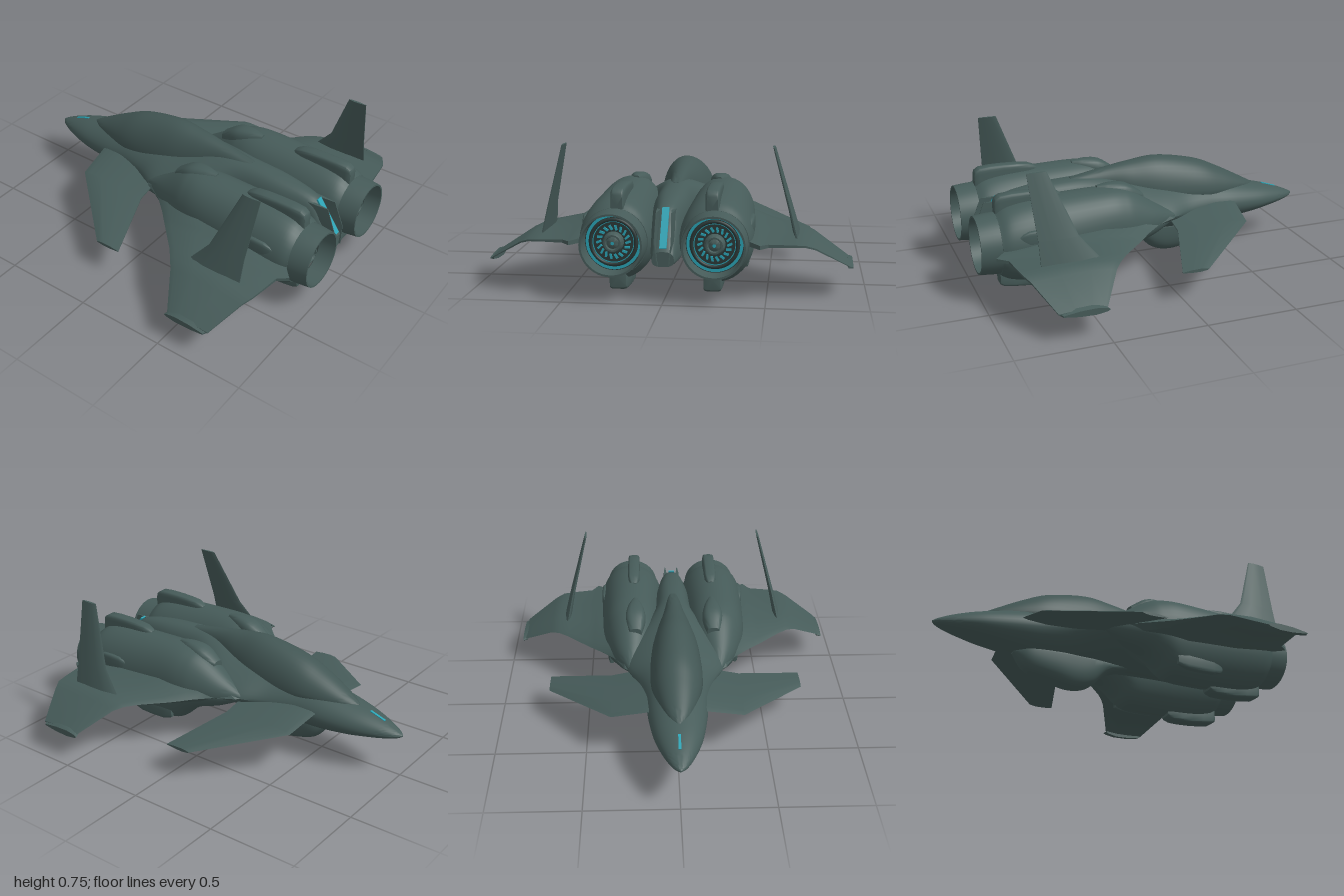
import * as THREE from 'three';
import { toCreasedNormals } from 'three/addons/utils/BufferGeometryUtils.js';

const paint = (name, color) => Object.assign(new THREE.MeshStandardMaterial({ color }), { name });
const hull = paint('hull grey green', 0x465b59);
const glass = paint('canopy grey green', 0x425654);
const dark = paint('engine dark', 0x2b3837);
const cyan = paint('glow cyan', 0x2aa3b4);

// Skin a closed tube over equal-sized rings of points, capping both ends.
function skin(rings, crease = 0.6) {
  const n = rings[0].length, m = rings.length, pos = [], index = [];
  rings.forEach(r => r.forEach(p => pos.push(p.x, p.y, p.z)));
  for (let i = 0; i < m - 1; i++) for (let j = 0; j < n; j++) {
    const a = i * n + j, b = i * n + (j + 1) % n;
    index.push(a, b, a + n, b, b + n, a + n);
  }
  [0, m - 1].forEach((k, e) => {
    const c = rings[k].reduce((s, p) => s.add(p), new THREE.Vector3()).divideScalar(n);
    const ci = pos.length / 3;
    pos.push(c.x, c.y, c.z);
    for (let j = 0; j < n; j++) {
      const a = k * n + j, b = k * n + (j + 1) % n;
      e ? index.push(a, b, ci) : index.push(b, a, ci);
    }
  });
  // Turn the faces outward whichever way the rings ran.
  const v = i => new THREE.Vector3(pos[3 * i], pos[3 * i + 1], pos[3 * i + 2]);
  let volume = 0;
  for (let i = 0; i < index.length; i += 3) volume += v(index[i]).dot(v(index[i + 1]).cross(v(index[i + 2])));
  if (volume < 0) index.reverse();
  const g = new THREE.BufferGeometry();
  g.setAttribute('position', new THREE.Float32BufferAttribute(pos, 3));
  g.setIndex(index);
  return toCreasedNormals(g, crease);
}

// Body along z. Rows: [z, half width, top, bottom, middle height, roundness]
function body(rows, x0 = 0, steps = 6, sides = 40, crease = 0.6) {
  const curves = [1, 2, 3, 4, 5].map(c => new THREE.SplineCurve(rows.map(r => new THREE.Vector2(r[0], r[c]))));
  const count = (rows.length - 1) * steps, rings = [];
  for (let i = 0; i <= count; i++) {
    const at = curves.map(c => c.getPoint(i / count));
    const [w, top, bot, mid, n] = at.map(p => p.y), ring = [];
    for (let j = 0; j < sides; j++) {
      const a = j / sides * Math.PI * 2, c = Math.cos(a), s = Math.sin(a);
      const x = Math.sign(c) * Math.abs(c) ** (2 / n) * w;
      const y = mid + Math.sign(s) * Math.abs(s) ** (2 / n) * (s > 0 ? top - mid : mid - bot);
      ring.push(new THREE.Vector3(x0 + x, y, at[0].x));
    }
    rings.push(ring);
  }
  return skin(rings, crease);
}

// Lens-shaped blade. Stations: [x, y, leading z, trailing z, thickness]
const LENS = [[0, 0], [0.06, 0.25], [0.3, 0.5], [0.65, 0.42], [1, 0.1], [1, -0.1], [0.65, -0.42], [0.3, -0.5], [0.06, -0.25]];
function blade(stations, side, upright = false) {
  return skin(stations.map(([x, y, z0, z1, th]) => LENS.map(([t, h]) => new THREE.Vector3(
    side * (x + (upright ? h * th : 0)), y + (upright ? 0 : h * th), z0 + (z1 - z0) * t))), 0.5);
}

export function createModel() {
  const model = new THREE.Group();
  model.name = 'jetFighter';
  const add = (name, geometry, material = hull, parent = model) => {
    const mesh = new THREE.Mesh(geometry, material);
    mesh.name = name;
    parent.add(mesh);
    return mesh;
  };

  // Nose, broad shoulders and the spine that narrows between the engines
  add('fuselage', body([
    [-1, 0.004, 0.245, 0.235, 0.24, 2], [-0.97, 0.035, 0.262, 0.222, 0.24, 2], [-0.9, 0.072, 0.292, 0.206, 0.242, 2],
    [-0.8, 0.11, 0.325, 0.19, 0.247, 2], [-0.7, 0.136, 0.35, 0.174, 0.253, 2], [-0.55, 0.16, 0.385, 0.155, 0.265, 1.9],
    [-0.4, 0.173, 0.41, 0.146, 0.28, 1.8], [-0.25, 0.21, 0.43, 0.143, 0.29, 1.6], [-0.1, 0.28, 0.455, 0.148, 0.3, 1.4],
    [0.05, 0.3, 0.48, 0.16, 0.3, 1.4], [0.2, 0.2, 0.505, 0.17, 0.31, 1.8], [0.35, 0.12, 0.51, 0.17, 0.32, 2.4],
    [0.6, 0.1, 0.495, 0.17, 0.32, 2.6], [0.8, 0.08, 0.455, 0.17, 0.24, 2.6], [0.87, 0.07, 0.37, 0.175, 0.22, 2.6],
    [0.95, 0.055, 0.255, 0.18, 0.21, 2.6]]));
  add('canopy', body([
    [-0.73, 0.015, 0.345, 0.32, 0.33, 2], [-0.65, 0.065, 0.39, 0.32, 0.34, 2], [-0.5, 0.118, 0.47, 0.32, 0.345, 2],
    [-0.35, 0.143, 0.535, 0.32, 0.35, 2], [-0.12, 0.137, 0.58, 0.33, 0.36, 2], [0.05, 0.105, 0.568, 0.34, 0.4, 2],
    [0.2, 0.065, 0.545, 0.36, 0.44, 2.2], [0.4, 0.04, 0.51, 0.4, 0.46, 2.4]]), glass);
  add('bellyPod', body([
    [-0.54, 0.02, 0.17, 0.145, 0.16, 2], [-0.46, 0.07, 0.19, 0.06, 0.16, 2.4], [-0.3, 0.09, 0.2, 0.018, 0.16, 2.8],
    [-0.18, 0.09, 0.2, 0.002, 0.16, 2.8], [-0.08, 0.085, 0.2, 0.03, 0.16, 2.6], [0.02, 0.07, 0.2, 0.12, 0.165, 2.2],
    [0.15, 0.045, 0.2, 0.165, 0.18, 2]]));

  // Nose light and the sloping tail light
  const noseLight = add('noseLight', new THREE.BoxGeometry(0.014, 0.008, 0.095), cyan);
  noseLight.position.set(0, 0.31, -0.845);
  noseLight.rotation.x = -0.33;
  const tailLight = add('tailLight', new THREE.BoxGeometry(0.035, 0.009, 0.22), cyan);
  tailLight.position.set(0, 0.362, 0.884);
  tailLight.rotation.x = 0.97;

  for (const side of [1, -1]) {
    const half = new THREE.Group();
    half.name = side > 0 ? 'leftHalf' : 'rightHalf';
    model.add(half);
    const put = (name, geometry, material = hull) => add(name, geometry, material, half);

    // Wing with drooping outer panel, and its tip rail
    put('wing', blade([
      [0.15, 0.3, -0.22, 0.86, 0.16], [0.29, 0.3, -0.11, 0.88, 0.15], [0.34, 0.295, 0, 0.88, 0.14],
      [0.42, 0.29, 0.09, 0.89, 0.12], [0.47, 0.285, 0.14, 0.94, 0.1], [0.51, 0.282, 0.18, 0.885, 0.08],
      [0.63, 0.28, 0.3, 0.87, 0.055], [0.69, 0.277, 0.35, 0.86, 0.05], [0.74, 0.26, 0.39, 0.835, 0.04],
      [0.915, 0.155, 0.5, 0.75, 0.022]], side));
    put('wingTipRail', blade([[0.905, 0.152, 0.5, 0.745, 0.045], [0.93, 0.148, 0.49, 0.73, 0.035]], side));

    // Canard and inward-leaning tail fin
    put('canard', blade([[0.1, 0.305, -0.555, -0.11, 0.035], [0.36, 0.25, -0.525, -0.105, 0.03],
      [0.72, 0.172, -0.13, 0.02, 0.018]], side));
    put('tailFin', blade([[0.65, 0.27, 0.42, 0.755, 0.04], [0.615, 0.42, 0.545, 0.758, 0.028],
      [0.528, 0.75, 0.68, 0.785, 0.014]], side, true));

    // Nacelle with blocks above and below, and a shoulder scoop
    put('nacelle', body([
      [-0.14, 0.01, 0.31, 0.29, 0.3, 2], [0, 0.09, 0.4, 0.22, 0.3, 2], [0.13, 0.14, 0.485, 0.175, 0.3, 2],
      [0.2, 0.158, 0.51, 0.13, 0.3, 2.1], [0.29, 0.17, 0.52, 0.06, 0.3, 2.2], [0.45, 0.18, 0.52, 0.05, 0.29, 2.1],
      [0.7, 0.188, 0.51, 0.06, 0.29, 2], [0.83, 0.183, 0.49, 0.085, 0.29, 2], [0.89, 0.168, 0.455, 0.12, 0.29, 2]], side * 0.25));
    put('upperBlock', body([[0.53, 0.02, 0.52, 0.44, 0.48, 6], [0.58, 0.034, 0.545, 0.44, 0.48, 6],
      [0.72, 0.036, 0.555, 0.44, 0.48, 6], [0.86, 0.036, 0.55, 0.42, 0.46, 6], [0.89, 0.028, 0.52, 0.42, 0.46, 6]], side * 0.235, 2, 24));
    put('lowerBlock', body([[0.55, 0.04, 0.1, 0.04, 0.07, 6], [0.59, 0.045, 0.12, 0.02, 0.07, 6],
      [0.72, 0.045, 0.12, 0.022, 0.07, 6], [0.86, 0.045, 0.14, 0.04, 0.08, 6], [0.88, 0.038, 0.15, 0.06, 0.1, 6]], side * 0.235, 2, 24));
    put('shoulderScoop', body([[0.06, 0.035, 0.46, 0.4, 0.43, 3], [0.15, 0.06, 0.52, 0.4, 0.45, 3],
      [0.24, 0.05, 0.535, 0.42, 0.46, 3], [0.32, 0.02, 0.528, 0.44, 0.48, 3]], side * 0.225, 4, 24));
    put('sideBlister', body([[0.58, 0.008, 0.37, 0.33, 0.35, 4], [0.63, 0.02, 0.395, 0.31, 0.35, 4],
      [0.75, 0.02, 0.395, 0.31, 0.35, 4], [0.8, 0.008, 0.37, 0.33, 0.35, 4]], side * 0.415, 2, 20));
    put('lowerSideBlister', body([[0.28, 0.01, 0.16, 0.1, 0.13, 4], [0.34, 0.022, 0.17, 0.08, 0.13, 4],
      [0.5, 0.022, 0.17, 0.08, 0.13, 4], [0.56, 0.01, 0.16, 0.1, 0.13, 4]], side * 0.375, 2, 20));
    // Cheek beside the tail light
    put('tailCheek', blade([[0.028, 0.19, 0.7, 0.96, 0.025], [0.042, 0.3, 0.7, 0.955, 0.025],
      [0.038, 0.44, 0.7, 0.9, 0.02]], side, true));

    // Nozzle facing backward, with glowing rings and turbine blades
    const engine = new THREE.Group();
    engine.name = 'engine';
    engine.position.set(side * 0.25, 0.29, 0);
    half.add(engine);
    const lathe = points => toCreasedNormals(
      new THREE.LatheGeometry(points.map(p => new THREE.Vector2(...p)), 48).rotateX(Math.PI / 2), 0.6);
    add('nozzle', lathe([[0.166, 0.85], [0.163, 0.93], [0.156, 1], [0.146, 1], [0.143, 0.9]]), hull, engine);
    add('nozzleFloor', new THREE.CircleGeometry(0.146, 48).translate(0, 0, 0.902), dark, engine);
    add('outerGlowRing', new THREE.RingGeometry(0.124, 0.139, 48).translate(0, 0, 0.906), cyan, engine);
    add('innerGlowRing', new THREE.RingGeometry(0.1, 0.107, 48).translate(0, 0, 0.906), cyan, engine);
    add('innerCollar', new THREE.TorusGeometry(0.113, 0.009, 8, 48).translate(0, 0, 0.91), dark, engine);
    for (let i = 0; i < 18; i++) {
      const tooth = add('turbineBlade', new THREE.BoxGeometry(0.026, 0.011, 0.008), cyan, engine);
      const a = i / 18 * Math.PI * 2;
      tooth.position.set(Math.cos(a) * 0.073, Math.sin(a) * 0.073, 0.908);
      tooth.rotation.z = a + 0.4;
    }
    add('hub', lathe([[0.052, 0.9], [0.05, 0.93], [0.042, 0.945], [0.034, 0.945], [0.03, 0.93], [0.02, 0.935], [0, 0.94]]), hull, engine);
    add('hubLight', new THREE.CircleGeometry(0.009, 16).translate(0, 0, 0.943), cyan, engine);
  }
  return model;
}
